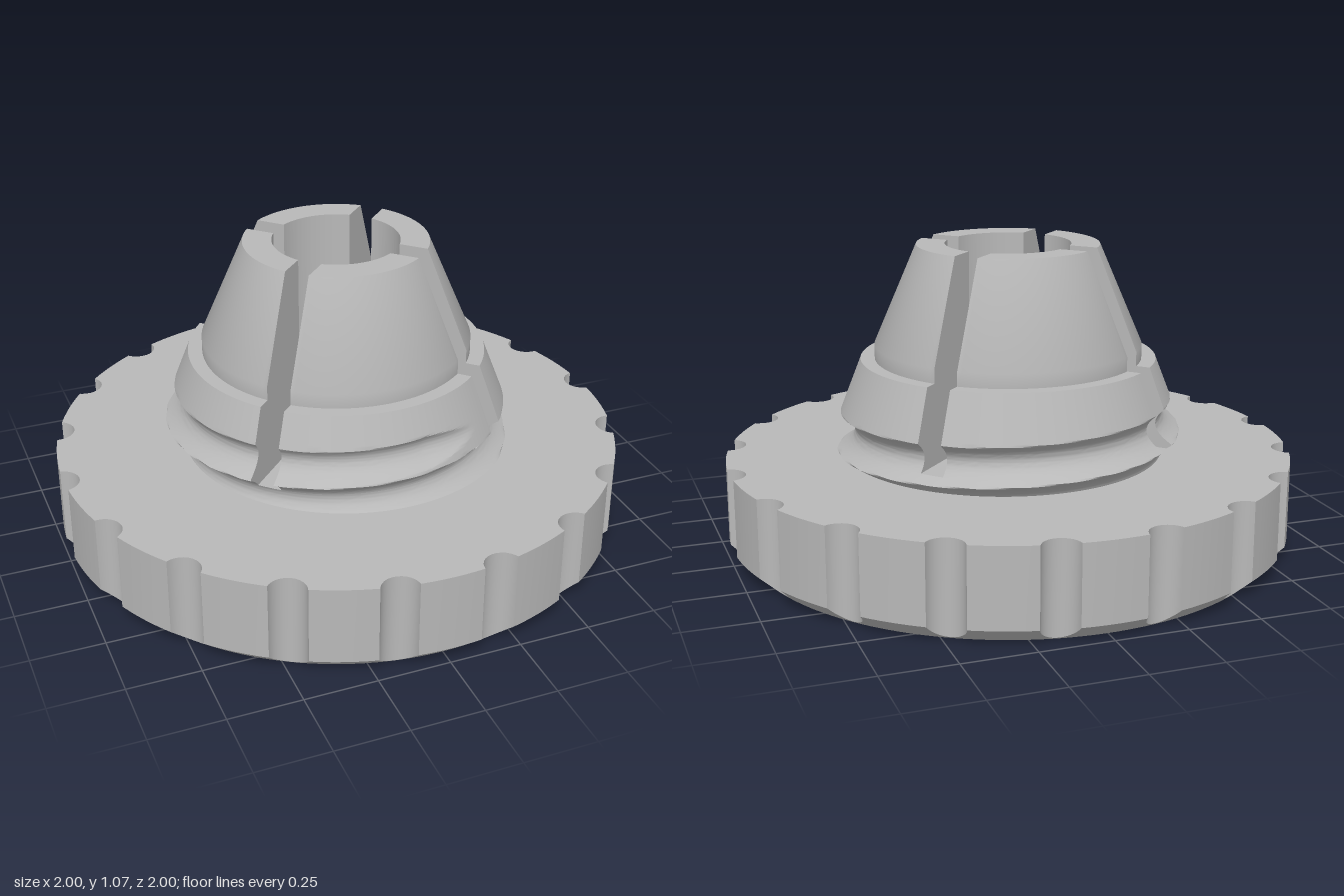
import * as THREE from 'three';
import { toCreasedNormals } from 'three/addons/utils/BufferGeometryUtils.js';

const TAU = Math.PI * 2;
const BORE = 0.22, RIM_Y = 0.33, SLOT_Y = 0.39, LEDGE_Y = 0.67, TOP_Y = 1.07;
const SLOT_HALF = 0.042;

// point at angle a (counterclockwise seen from above)
const polar = (r, a, y) => [r * Math.cos(a), y, -r * Math.sin(a)];

// skins columns of points; the front is (along columns) x (along points)
function skin(columns, crease = 0.5) {
  const pos = [];
  for (let i = 0; i < columns.length - 1; i++) {
    const p = columns[i], q = columns[i + 1];
    for (let j = 0; j < p.length - 1; j++) {
      pos.push(...p[j], ...q[j], ...q[j + 1], ...p[j], ...q[j + 1], ...p[j + 1]);
    }
  }
  const g = new THREE.BufferGeometry();
  g.setAttribute('position', new THREE.Float32BufferAttribute(pos, 3));
  return toCreasedNormals(g, crease);
}

// outer radius of the tapered collar with its helical round groove
function threadRadius(y, angle) {
  const a = ((angle % TAU) + TAU) % TAU;
  let r = Math.min(0.61, 0.52 + 0.39 * (LEDGE_Y - y));
  for (let turn = -2; turn <= 0; turn++) {
    const dy = y - (0.42 + 0.145 * (a / TAU + turn));
    const runOut = turn === 0 ? Math.max(0, a - 4.9) * 0.08 : 0;
    r = Math.min(r, 0.545 + 12.4 * dy * dy + runOut);
  }
  return r;
}

// round knob: 18 scalloped grips, chamfered lower rim, countersunk hole
function knobGeometry() {
  const count = 18, d = 1.01, cut = 0.065, step = TAU / count;
  const half = Math.acos((1 + d * d - cut * cut) / (2 * d));
  const columns = [];
  const add = (a, r) => columns.push([
    [BORE, 0.116], [0.33, 0], [0.94, 0],
    [r, 0.055 * (r - 0.94) / 0.06], [r, RIM_Y], [0.5, RIM_Y],
  ].map(([pr, y]) => polar(pr, a, y)));
  for (let k = 0; k < count; k++) {
    for (let i = 0; i <= 12; i++) {
      const phi = half * Math.sin((i / 12 - 0.5) * Math.PI);
      const s = d * Math.sin(phi);
      const r = d * Math.cos(phi) - Math.sqrt(Math.max(0, cut * cut - s * s));
      add(k * step + phi, Math.min(1, r));
    }
    for (let i = 1; i < 6; i++) add(k * step + half + (step - 2 * half) * i / 6, 1);
  }
  columns.push(columns[0]);
  return skin(columns);
}

// solid ring under the slots, with the lower bore
function collarGeometry() {
  const columns = [];
  for (let i = 0; i <= 160; i++) {
    const a = (i % 160) / 160 * TAU, col = [];
    for (let j = 0; j <= 10; j++) {
      const y = RIM_Y + (SLOT_Y - RIM_Y) * j / 10;
      col.push(polar(threadRadius(y, a), a, y));
    }
    col.push(polar(BORE, a, SLOT_Y), polar(BORE, a, 0.116));
    columns.push(col);
  }
  return skin(columns);
}

// one springy jaw between two slots, as outer skin and two flat slot walls
function jawGeometries(mid) {
  const rows = [];
  for (let j = 0; j <= 56; j++) rows.push([SLOT_Y + (LEDGE_Y - SLOT_Y) * j / 56, null]);
  rows.push([LEDGE_Y, 0.47], [0.72, 0.47], [TOP_Y, 0.32]);
  const place = (y, fixed, t) => {
    let r = fixed ?? 0.56, a = mid;
    for (let k = 0; k < 3; k++) {
      a = mid + t * (Math.PI / 4 - Math.asin(SLOT_HALF / r));
      if (fixed === null) r = threadRadius(y, a);
    }
    return polar(r, a, y);
  };
  const columns = [];
  for (let i = 0; i <= 40; i++) {
    const t = i / 20 - 1;
    columns.push([...rows, [TOP_Y, BORE], [SLOT_Y, BORE]].map(([y, r]) => place(y, r, t)));
  }
  const edge = (t, inner) => rows.map(([y, r]) => place(y, inner ? BORE : r, t));
  return {
    jaw: skin(columns),
    slotWallStart: skin([edge(-1, true), edge(-1, false)]),
    slotWallEnd: skin([edge(1, false), edge(1, true)]),
  };
}

export function createModel() {
  const model = new THREE.Group();
  model.name = 'colletKnob';
  const grey = new THREE.MeshStandardMaterial({ color: 0xb8b8b8 });
  grey.name = 'plain grey';
  const add = (parent, name, geometry) => {
    const mesh = new THREE.Mesh(geometry, grey);
    mesh.name = name;
    parent.add(mesh);
  };

  add(model, 'gripKnob', knobGeometry());
  add(model, 'threadedCollar', collarGeometry());

  // four jaws, split by the diagonal slots
  for (let k = 0; k < 4; k++) {
    const group = new THREE.Group();
    group.name = 'colletJaw' + (k + 1);
    for (const [name, g] of Object.entries(jawGeometries(k * Math.PI / 2))) add(group, name, g);
    model.add(group);
  }
  return model;
}
